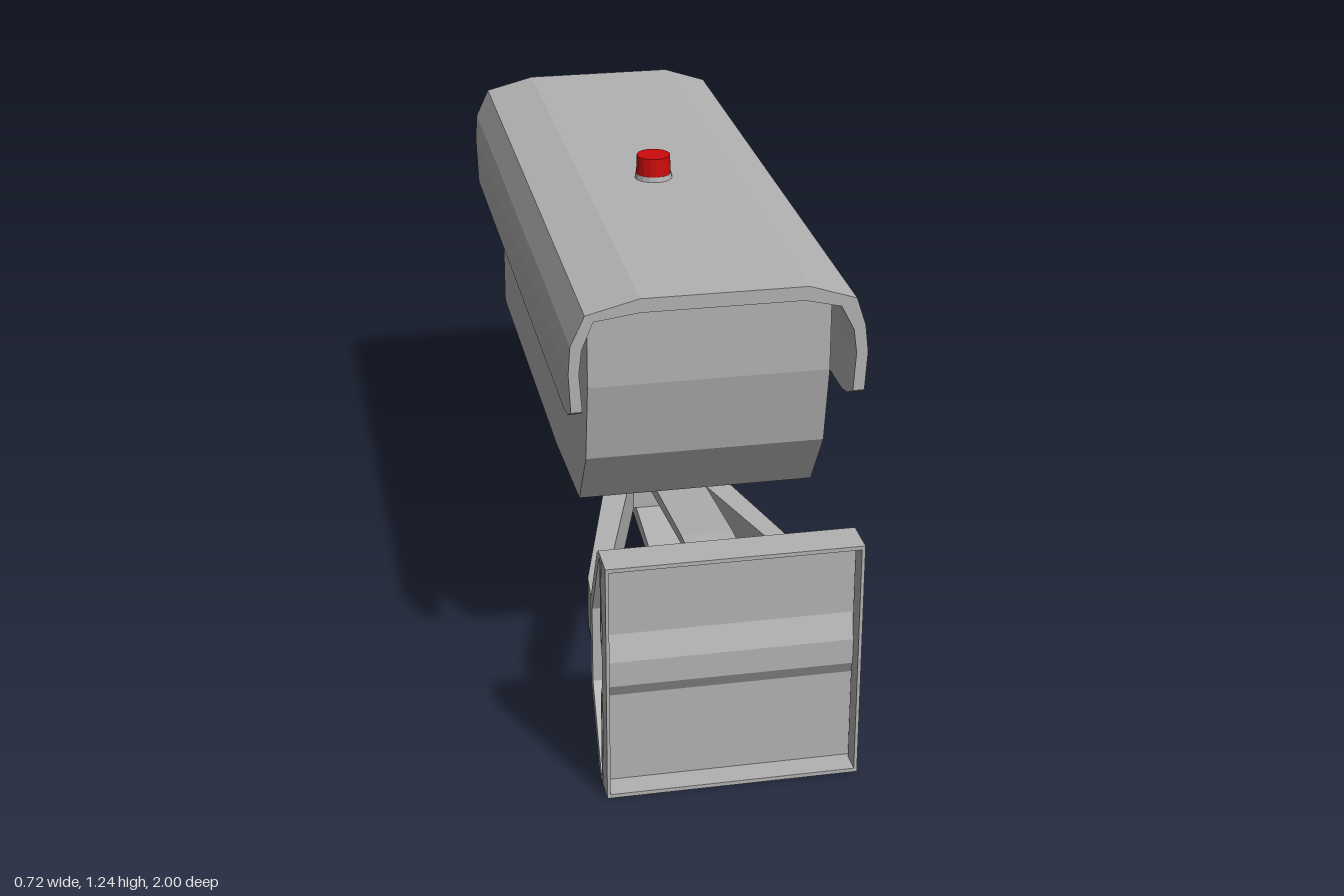
import * as THREE from 'three';

export function createModel() {
  const root = new THREE.Group();
  const paint = (name, color) => {
    const m = new THREE.MeshStandardMaterial({ color, flatShading: true });
    m.name = name;
    return m;
  };
  const grey = paint('casing grey', 0xb2b2b2);
  const dark = paint('dark grey', 0x686868);
  const red = paint('signal red', 0xcc0a0a);

  const add = (name, geo, mat, x = 0, y = 0, z = 0) => {
    const mesh = new THREE.Mesh(geo, mat);
    mesh.name = name;
    mesh.position.set(x, y, z);
    root.add(mesh);
    return mesh;
  };
  const shapeOf = (pts) => new THREE.Shape(pts.map(([a, b]) => new THREE.Vector2(a, b)));
  const extrude = (shape, depth, steps = 1) =>
    new THREE.ExtrudeGeometry(shape, { depth, steps, bevelEnabled: false });
  // Side profile given as (z, y), spanning x0 to x1
  const acrossX = (shape, x0, x1) => extrude(shape, x1 - x0).rotateY(-Math.PI / 2).translate(x1, 0, 0);
  // Plan profile given as (x, z), spanning y0 to y1
  const acrossY = (shape, y0, y1) => extrude(shape, y1 - y0).rotateX(Math.PI / 2).translate(0, y1, 0);

  // Camera housing with a chamfered underside at the front
  add('housing', acrossX(shapeOf([
    [-0.885, 0.525], [0.12, 0.525], [0.505, 0.555], [0.615, 0.715], [0.655, 0.92], [0.655, 1.115], [-0.885, 1.115],
  ]), -0.3, 0.29), grey);

  // Sun hood: bent sheet whose lower front corners curve upward
  const hood = extrude(shapeOf([
    [-0.355, 0.865], [-0.328, 0.865], [-0.335, 1.0], [-0.328, 1.06], [-0.3, 1.128], [-0.19, 1.143],
    [0.2, 1.143], [0.288, 1.122], [0.32, 1.06], [0.328, 1.0], [0.322, 0.865],
    [0.35, 0.865], [0.356, 1.0], [0.348, 1.07], [0.325, 1.14], [0.21, 1.178],
    [-0.19, 1.178], [-0.32, 1.145], [-0.355, 1.07], [-0.36, 1.0],
  ]), 1.75, 35).translate(0, 0, -1);
  const pos = hood.attributes.position;
  for (let i = 0; i < pos.count; i++) {
    if (pos.getY(i) < 0.87) {
      const t = Math.max(0, (pos.getZ(i) - 0.64) / 0.11);
      pos.setY(i, 0.865 + 0.038 * t * t);
    }
  }
  hood.computeVertexNormals();
  add('hood', hood, grey);

  // Signal light on the hood
  add('signalBase', new THREE.CylinderGeometry(0.047, 0.05, 0.016, 16), grey, -0.003, 1.183, -0.07);
  add('signalLight', new THREE.CylinderGeometry(0.044, 0.046, 0.05, 16), red, -0.003, 1.214, -0.07);

  // Lens barrel and nested rings, profiles as (radius, depth outward)
  const lathe = (name, pts, mat) => add(name, new THREE.LatheGeometry(
    pts.map(([r, d]) => new THREE.Vector2(r, d)), 16).rotateX(-Math.PI / 2), mat, -0.005, 0.855, -0.885);
  lathe('lensBarrel', [[0.245, 0], [0.245, 0.085], [0.235, 0.1], [0.19, 0.1], [0.18, 0.05]], dark);
  lathe('lensFloor', [[0.185, 0.05], [0, 0.05]], grey);
  lathe('outerLensRing', [[0.128, 0.05], [0.128, 0.07], [0.108, 0.07], [0.105, 0.052]], dark);
  lathe('innerLensRing', [[0.08, 0.05], [0.08, 0.075], [0.062, 0.075], [0.06, 0.052]], dark);
  lathe('lensHub', [[0.055, 0.05], [0.05, 0.07], [0, 0.07]], grey);

  // Wall mount: hollow sheet bracket with a ridged panel, open toward the wall
  const mount = shapeOf([
    [1, 0], [1, 0.01], [0.935, 0.01], [0.935, 0.245], [0.955, 0.28], [0.955, 0.345], [0.935, 0.41], [0.935, 0.61],
    [1, 0.61], [1, 0.62], [0.905, 0.62], [0.885, 0.605], [0.78, 0.42], [0.78, 0.2], [0.885, 0.015], [0.905, 0],
  ]);
  mount.holes.push(new THREE.Path([
    [0.922, 0.01], [0.905, 0.03], [0.805, 0.21], [0.805, 0.41], [0.905, 0.59], [0.922, 0.61],
    [0.922, 0.4], [0.942, 0.355], [0.942, 0.28], [0.922, 0.245],
  ].map(([a, b]) => new THREE.Vector2(a, b))));
  add('wallMount', acrossX(mount, -0.32, 0.295), grey);
  for (const x of [-0.316, 0.291]) {
    add('mountSideWall', new THREE.BoxGeometry(0.008, 0.62, 0.055), grey, x, 0.31, 0.9725);
  }

  // Upper and lower arms
  add('upperArm', acrossX(shapeOf([
    [0.82, 0.49], [0.62, 0.485], [-0.02, 0.415], [-0.1, 0.405], [-0.1, 0.37], [0, 0.38], [0.61, 0.46], [0.81, 0.465],
  ]), -0.065, 0.065), grey);
  add('lowerArm', acrossX(shapeOf([
    [0.83, 0.135], [0.6, 0.145], [-0.1, 0.217], [-0.1, 0.255], [0, 0.25], [0.6, 0.168], [0.81, 0.16],
  ]), -0.065, 0.065), grey);

  // Side arms, mirrored
  for (const s of [-1, 1]) {
    add('sideArm', acrossY(shapeOf([
      [0.3, 0.79], [0.285, 0.6], [0.105, -0.1], [0.05, -0.1], [0.06, 0], [0.235, 0.6], [0.25, 0.79],
    ].map(([x, z]) => [s * x - 0.012, z])), 0.25, 0.38), grey);
  }

  // Hub joining the arms, and the pillar carrying the housing
  add('hub', new THREE.BoxGeometry(0.14, 0.13, 0.1), grey, -0.005, 0.315, -0.05);
  add('pillar', acrossX(shapeOf([
    [-0.01, 0.53], [-0.01, 0.305], [-0.155, 0.302], [-0.165, 0.315], [-0.165, 0.42],
    [-0.155, 0.43], [-0.155, 0.49], [-0.165, 0.5], [-0.165, 0.53],
  ]), -0.07, 0.062), grey);

  return root;
}
